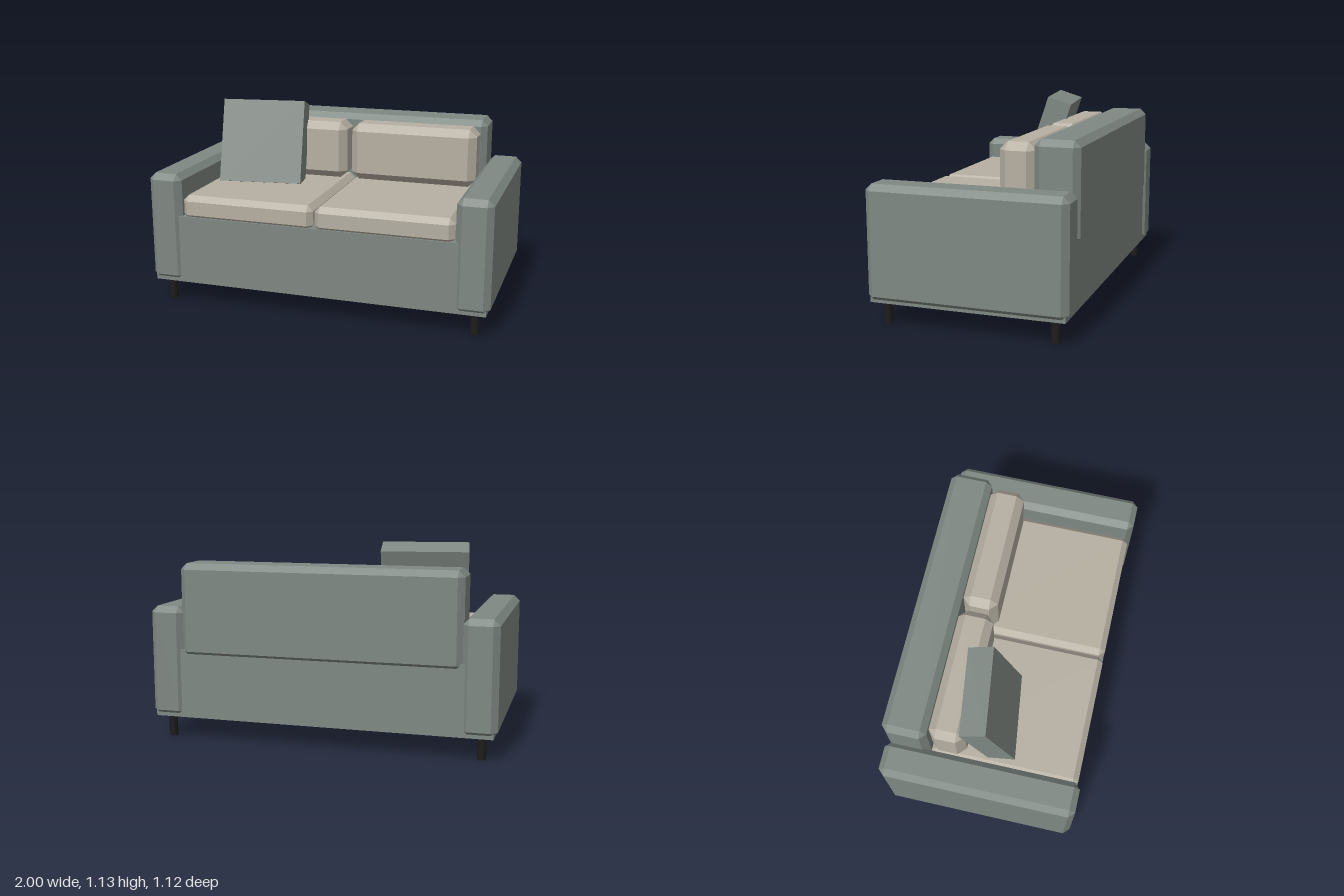
import * as THREE from 'three';
import { ConvexGeometry } from 'three/addons/geometries/ConvexGeometry.js';

const mat = (name, color) => new THREE.MeshStandardMaterial({ name, color });

// Box with every edge and corner cut by a flat chamfer, given by its limits.
function chamferBox([x0, x1], [y0, y1], [z0, z1], c) {
  const half = [(x1 - x0) / 2, (y1 - y0) / 2, (z1 - z0) / 2];
  const points = [];
  for (const sx of [-1, 1]) for (const sy of [-1, 1]) for (const sz of [-1, 1]) {
    for (let axis = 0; axis < 3; axis++) {
      const p = half.map((h, i) => (i === axis ? h : h - c));
      points.push(new THREE.Vector3(sx * p[0], sy * p[1], sz * p[2]));
    }
  }
  return new ConvexGeometry(points).translate((x0 + x1) / 2, (y0 + y1) / 2, (z0 + z1) / 2);
}

export function createModel() {
  const sofa = new THREE.Group();
  sofa.name = 'sofa';

  const grey = mat('grey fabric', 0x7f8883);
  const beige = mat('beige fabric', 0xb6afa2);
  const black = mat('black leg', 0x1c1c1c);

  const add = (name, geometry, material) => {
    const mesh = new THREE.Mesh(geometry, material);
    mesh.name = name;
    sofa.add(mesh);
    return mesh;
  };

  // Frame
  add('base', new THREE.BoxGeometry(1.96, 0.4, 1.09).translate(0, 0.33, 0), grey);
  add('backrest', chamferBox([-0.81, 0.81], [0.485, 1.025], [-0.56, -0.312], 0.035), grey);

  // Arms, cushions and legs on each side
  for (const [side, s] of [['left', 1], ['right', -1]]) {
    const span = (a, b) => (s > 0 ? [a, b] : [-b, -a]);
    add(side + 'Arm', chamferBox(span(0.8, 1), [0.132, 0.775], [-0.56, 0.56], 0.035), grey);
    add(side + 'SeatCushion', chamferBox(span(0.004, 0.796), [0.51, 0.655], [-0.32, 0.545], 0.032), beige);
    add(side + 'BackCushion', chamferBox(span(0.015, 0.78), [0.655, 1], [-0.312, -0.11], 0.044), beige);
    for (const [end, z] of [['Front', 0.475], ['Back', -0.475]]) {
      add(side + end + 'Leg', new THREE.CylinderGeometry(0.025, 0.025, 0.135, 16)
        .translate(s * 0.91, 0.0675, z), black);
    }
  }

  // Loose pillow leaning on the right back cushion
  const pillow = add('pillow', new THREE.BoxGeometry(0.5, 0.5, 0.15), grey);
  pillow.position.set(-0.502, 0.874, -0.015);
  pillow.rotation.set(-Math.PI / 10, THREE.MathUtils.degToRad(8), 0, 'YXZ');

  return sofa;
}
